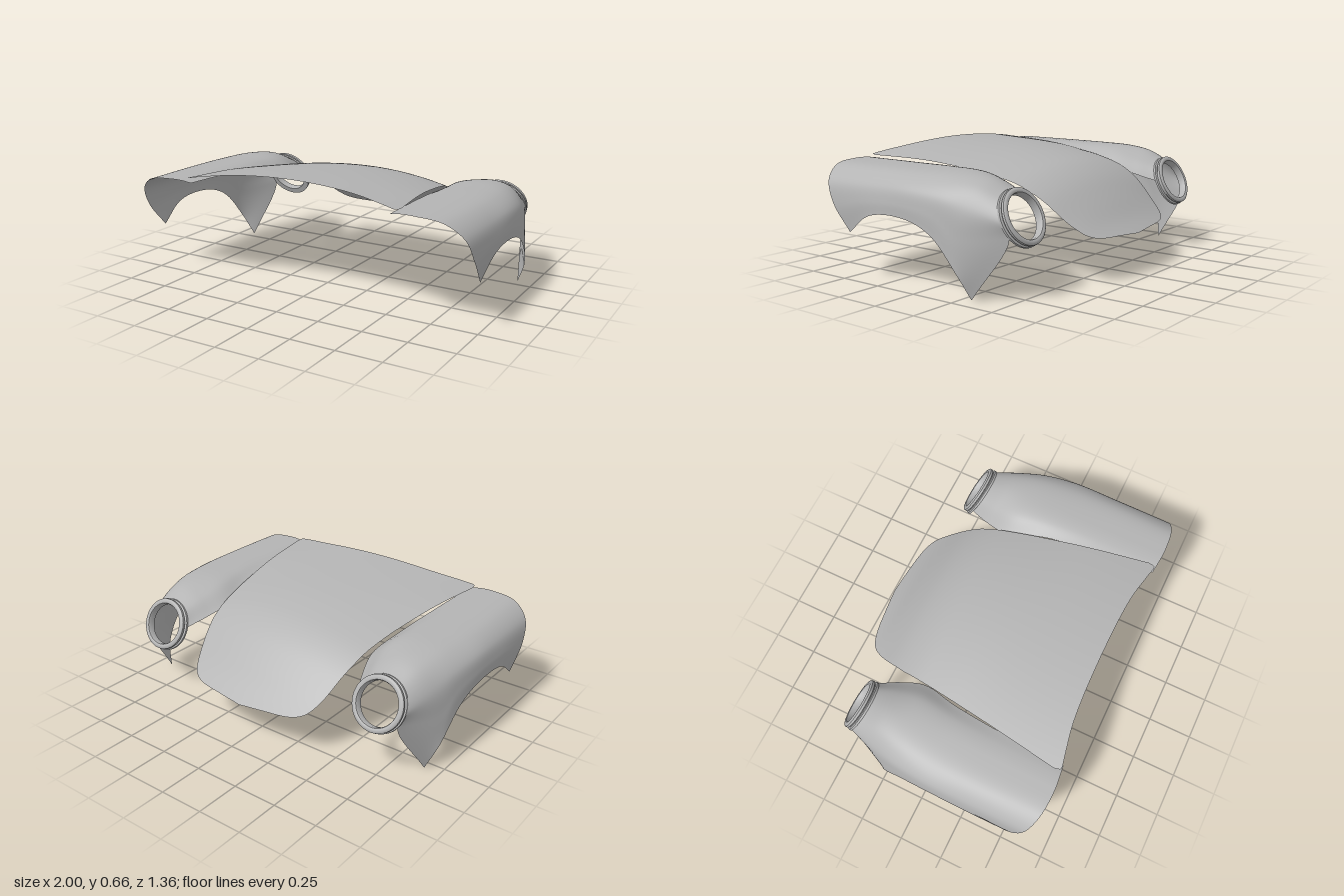
import * as THREE from 'three';
import { toCreasedNormals } from 'three/addons/utils/BufferGeometryUtils.js';

const panelGrey = new THREE.MeshStandardMaterial({ color: 0xb4b4b4, side: THREE.DoubleSide });
panelGrey.name = 'panel grey';

const V = (x, y, z) => new THREE.Vector3(x, y, z);

// Smooth curve y(x) through a few [x, y] points with rising x
function curve(points) {
  const n = points.length;
  const slope = i => {
    const a = points[Math.max(i - 1, 0)], b = points[Math.min(i + 1, n - 1)];
    return (b[1] - a[1]) / (b[0] - a[0]);
  };
  return x => {
    let i = 0;
    while (i < n - 2 && x > points[i + 1][0]) i++;
    const [x0, y0] = points[i], [x1, y1] = points[i + 1];
    const h = x1 - x0, t = THREE.MathUtils.clamp((x - x0) / h, 0, 1);
    const t2 = t * t, t3 = t2 * t;
    return (2 * t3 - 3 * t2 + 1) * y0 + (t3 - 2 * t2 + t) * h * slope(i)
      + (3 * t2 - 2 * t3) * y1 + (t3 - t2) * h * slope(i + 1);
  };
}

// Sheet from a function of (u across, v along); flip mirrors it in x
function sheet(point, nu, nv, flip = false) {
  const positions = [], index = [];
  for (let i = 0; i <= nv; i++) {
    for (let j = 0; j <= nu; j++) {
      const p = point(j / nu, i / nv);
      positions.push(flip ? -p.x : p.x, p.y, p.z);
      if (i === nv || j === nu) continue;
      const a = i * (nu + 1) + j, b = a + 1, c = a + nu + 1, d = c + 1;
      if (flip) index.push(a, c, b, b, c, d);
      else index.push(a, b, c, b, d, c);
    }
  }
  const geometry = new THREE.BufferGeometry();
  geometry.setAttribute('position', new THREE.Float32BufferAttribute(positions, 3));
  geometry.setIndex(index);
  geometry.computeVertexNormals();
  return geometry;
}

// Hood: crowned panel with a tapering plan, rounded nose corners and a curved rear edge
const crown = curve([[-0.68, 0.223], [-0.6, 0.29], [-0.5, 0.395], [-0.4, 0.487], [-0.3, 0.548],
  [-0.2, 0.583], [0, 0.62], [0.3, 0.648], [0.67, 0.668]]);
const drop = curve([[-0.68, 0.03], [-0.6, 0.037], [-0.5, 0.06], [0, 0.06], [0.3, 0.053], [0.67, 0.062]]);
const noseEdge = curve([[0, -0.68], [0.35, -0.664], [0.69, -0.64], [0.86, -0.6], [0.93, -0.54],
  [0.97, -0.46], [1, -0.34]]);
const rearEdge = curve([[0, 0.605], [0.35, 0.609], [0.63, 0.622], [0.86, 0.65], [0.95, 0.662],
  [0.98, 0.658], [1, 0.625]]);
function hoodPoint(s, v) {
  const u = Math.sin((s - 0.5) * Math.PI), a = Math.abs(u);
  const z = THREE.MathUtils.lerp(rearEdge(a), noseEdge(a), v);
  return V(u * (0.537 + 0.16 * z), crown(z) - drop(z) * u * u, z);
}

// Headlight position and tilt
const lamp = V(0.735, 0.39, -0.455), lampTilt = -1.148;
function onLamp(degrees, r = 0.146) {
  const a = THREE.MathUtils.degToRad(degrees);
  return V(lamp.x + r * Math.cos(a), lamp.y + 0.91 * r * Math.sin(a), lamp.z + 0.41 * r * Math.sin(a));
}

// Fender sections from rear to headlight, each from the inner edge over the top to the lower edge
const sections = [
  [V(0.6, 0.585, 0.665), V(0.66, 0.594, 0.672), V(0.74, 0.595, 0.678), V(0.88, 0.577, 0.667),
    V(0.97, 0.505, 0.63), V(0.995, 0.39, 0.57), V(0.985, 0.25, 0.46)],
  [V(0.58, 0.575, 0.3), V(0.65, 0.592, 0.3), V(0.74, 0.595, 0.3), V(0.89, 0.575, 0.3),
    V(0.97, 0.51, 0.3), V(0.995, 0.43, 0.3), V(0.998, 0.355, 0.3)],
  [V(0.55, 0.548, 0.02), V(0.63, 0.587, 0.04), V(0.74, 0.595, 0.05), V(0.885, 0.573, 0.05),
    V(0.97, 0.51, 0.05), V(0.993, 0.43, 0.05), V(0.996, 0.365, 0.05)],
  [V(0.505, 0.49, -0.19), V(0.605, 0.57, -0.16), V(0.74, 0.59, -0.15), V(0.87, 0.565, -0.15),
    V(0.95, 0.49, -0.15), V(0.977, 0.39, -0.13), V(0.985, 0.3, -0.11)],
  [V(0.54, 0.447, -0.33), V(0.62, 0.532, -0.3), V(0.74, 0.568, -0.29), V(0.85, 0.54, -0.29),
    V(0.925, 0.45, -0.28), V(0.955, 0.3, -0.25), V(0.962, 0.13, -0.25)],
  [onLamp(172), onLamp(130), onLamp(90), onLamp(50), onLamp(2), onLamp(-35), V(0.91, 0, -0.3)],
];
const rails = sections[0].map((_, k) => new THREE.CatmullRomCurve3(sections.map(s => s[k])));
function fenderPoint(u, v) {
  return new THREE.CatmullRomCurve3(rails.map(r => r.getPoint(v))).getPoint(u);
}

// Headlight ring: flange, groove and rounded front rim
function ringGeometry() {
  const profile = [[0.115, 0], [0.115, 0.034], [0.119, 0.042], [0.127, 0.045], [0.138, 0.043],
    [0.145, 0.037], [0.145, 0.024], [0.138, 0.02], [0.138, 0.016], [0.149, 0.012], [0.149, 0], [0.115, 0]]
    .map(([r, h]) => new THREE.Vector2(r, h)).reverse();
  return toCreasedNormals(new THREE.LatheGeometry(profile, 64), 0.7);
}

export function createModel() {
  const model = new THREE.Group();
  const add = (name, geometry) => {
    const mesh = new THREE.Mesh(geometry, panelGrey);
    mesh.name = name;
    model.add(mesh);
    return mesh;
  };

  add('hood', sheet(hoodPoint, 64, 48));

  for (const [side, name] of [[1, 'left'], [-1, 'right']]) {
    add(name + 'Fender', sheet(fenderPoint, 48, 48, side < 0));
    const ring = add(name + 'HeadlightRing', ringGeometry());
    ring.position.set(side * lamp.x, lamp.y, lamp.z);
    ring.rotation.x = lampTilt;
  }
  return model;
}
